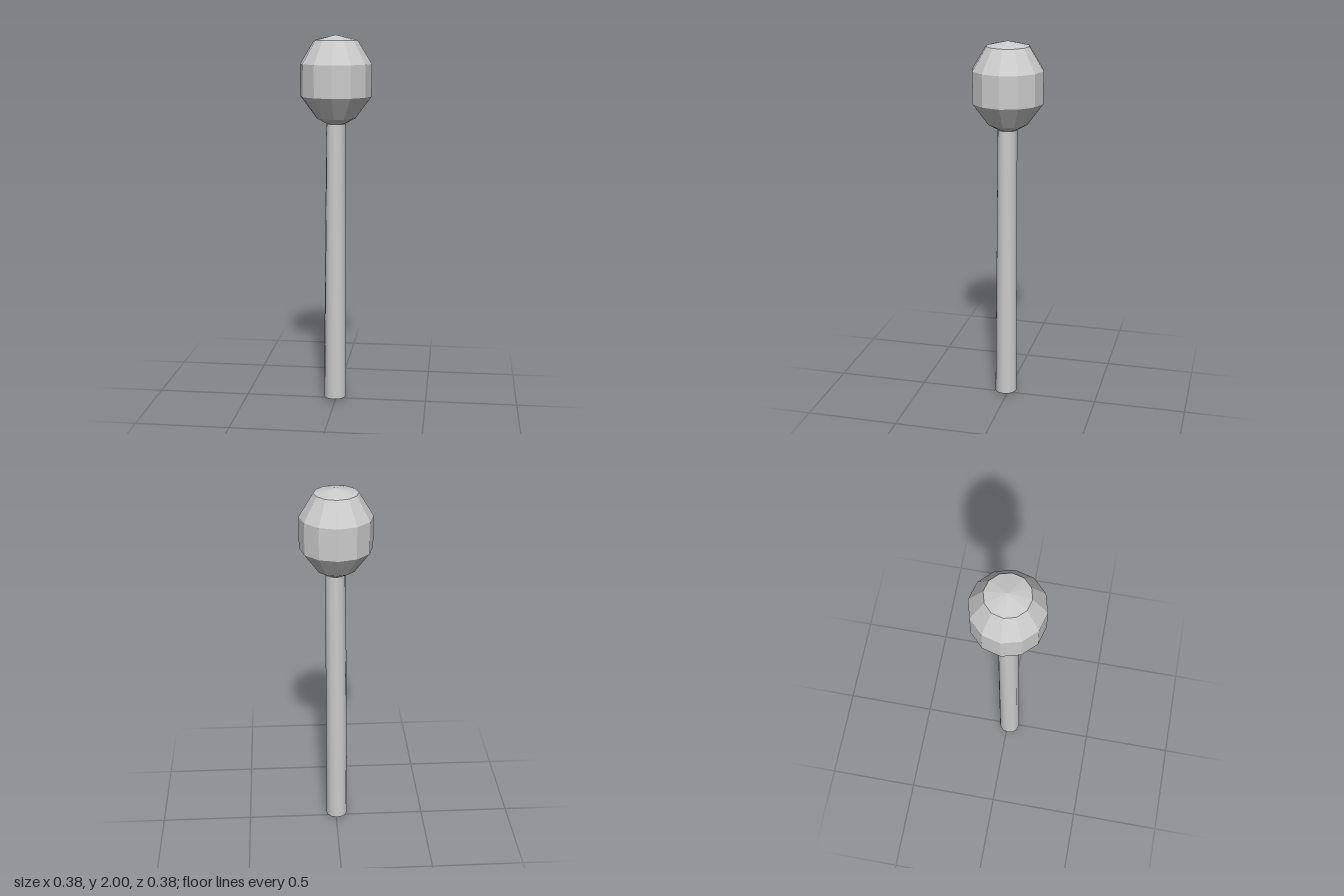
import * as THREE from 'three';
import { toCreasedNormals } from 'three/addons/utils/BufferGeometryUtils.js';

const SIDES = 12;

// Turned part from [radius, height] pairs, bottom to top
function turned(name, profile, flatShading) {
  const points = profile.map(([r, y]) => new THREE.Vector2(r, y));
  let geometry = new THREE.LatheGeometry(points, SIDES);
  if (!flatShading) geometry = toCreasedNormals(geometry, 0.7);
  const mesh = new THREE.Mesh(geometry, new THREE.MeshStandardMaterial({ color: 0xcccccc, flatShading }));
  mesh.name = name;
  return mesh;
}

// Shift each height sideways so the part leans from foot to top
function lean(mesh, foot, top, height) {
  const p = mesh.geometry.attributes.position;
  for (let i = 0; i < p.count; i++) {
    const t = p.getY(i) / height;
    p.setX(i, p.getX(i) + THREE.MathUtils.lerp(foot[0], top[0], t));
    p.setZ(i, p.getZ(i) + THREE.MathUtils.lerp(foot[1], top[1], t));
  }
}

export function createModel() {
  const model = new THREE.Group();
  model.name = 'knobbedStick';

  // Slightly tapered, leaning handle with a shallow pointed foot
  const handle = turned('handle', [[0, 0.005], [0.061, 0.022], [0.053, 1.54]], false);
  lean(handle, [-0.004, 0.012], [0.002, 0.001], 1.54);
  model.add(handle);

  // Faceted head with a low conical cap
  const head = turned('head', [
    [0, 1.535], [0.05, 1.535], [0.105, 1.565], [0.19, 1.68],
    [0.19, 1.85], [0.115, 1.973], [0, 2],
  ], true);
  model.add(head);

  // Stand the foot on the ground
  handle.position.y = -0.005;
  return model;
}
